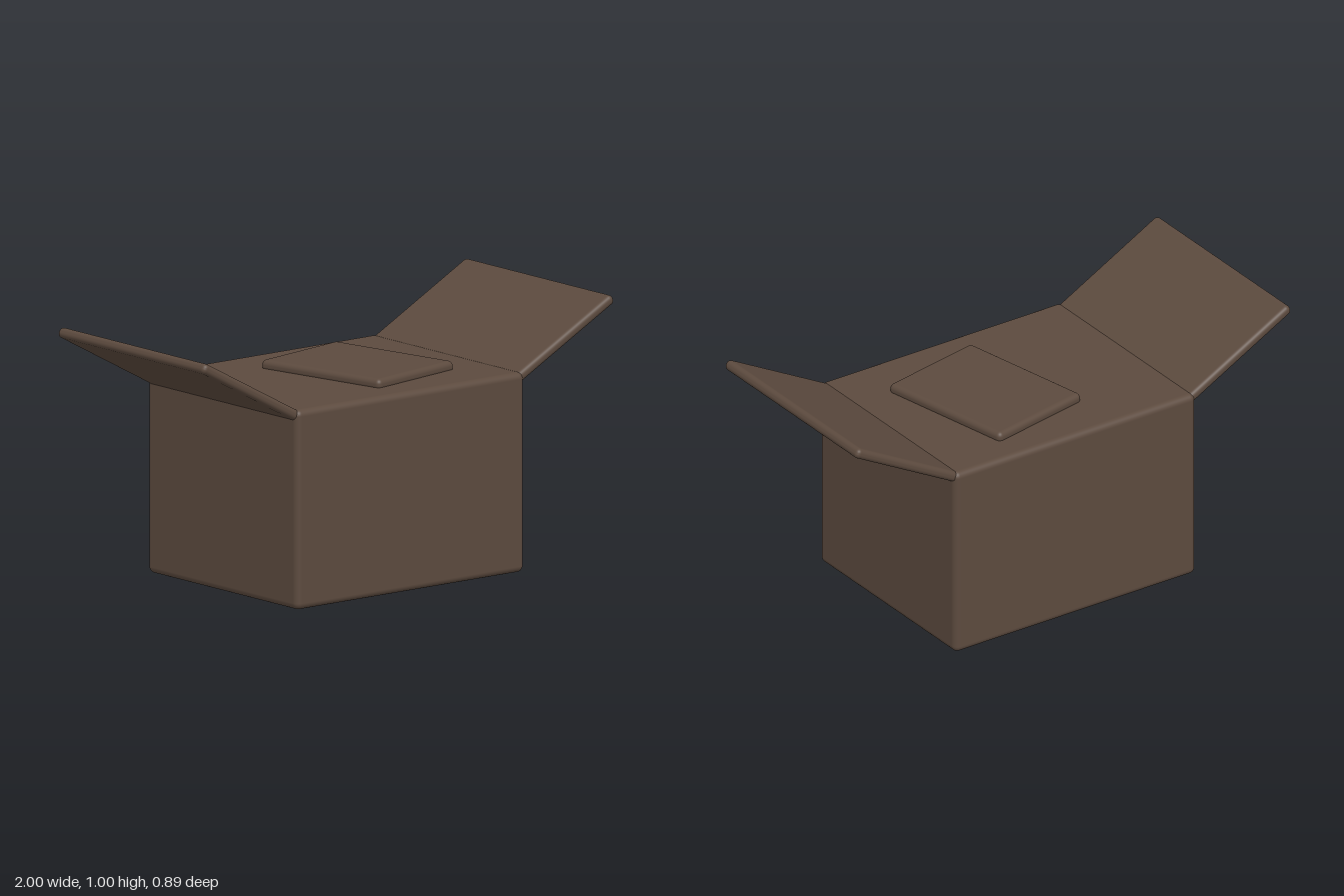
import * as THREE from 'three';
import { RoundedBoxGeometry } from 'three/addons/geometries/RoundedBoxGeometry.js';

export function createModel() {
  const model = new THREE.Group();
  model.name = 'openBox';
  const cardboard = new THREE.MeshStandardMaterial({ color: 0x5c4a3e });
  cardboard.name = 'brown cardboard';

  const slab = (name, w, h, d, r, x, y, z) => {
    const mesh = new THREE.Mesh(new RoundedBoxGeometry(w, h, d, 4, r), cardboard);
    mesh.name = name;
    mesh.position.set(x, y, z);
    model.add(mesh);
    return mesh;
  };

  // Closed body
  slab('body', 1.11, 0.77, 0.895, 0.025, 0, 0.385, 0);

  // Side flaps, hinged on the top edges and raised outwards
  const tilt = Math.atan2(0.238, 0.441);
  for (const side of [1, -1]) {
    const flap = slab(side > 0 ? 'leftFlap' : 'rightFlap', 0.537, 0.04, 0.875, 0.018, side * 0.761, 0.866, 0);
    flap.rotation.z = side * tilt;
  }

  // Small panel lying askew on top
  const panel = slab('topPanel', 0.45, 0.045, 0.58, 0.02, 0.107, 0.78, -0.003);
  panel.rotation.y = 0.2;

  return model;
}
